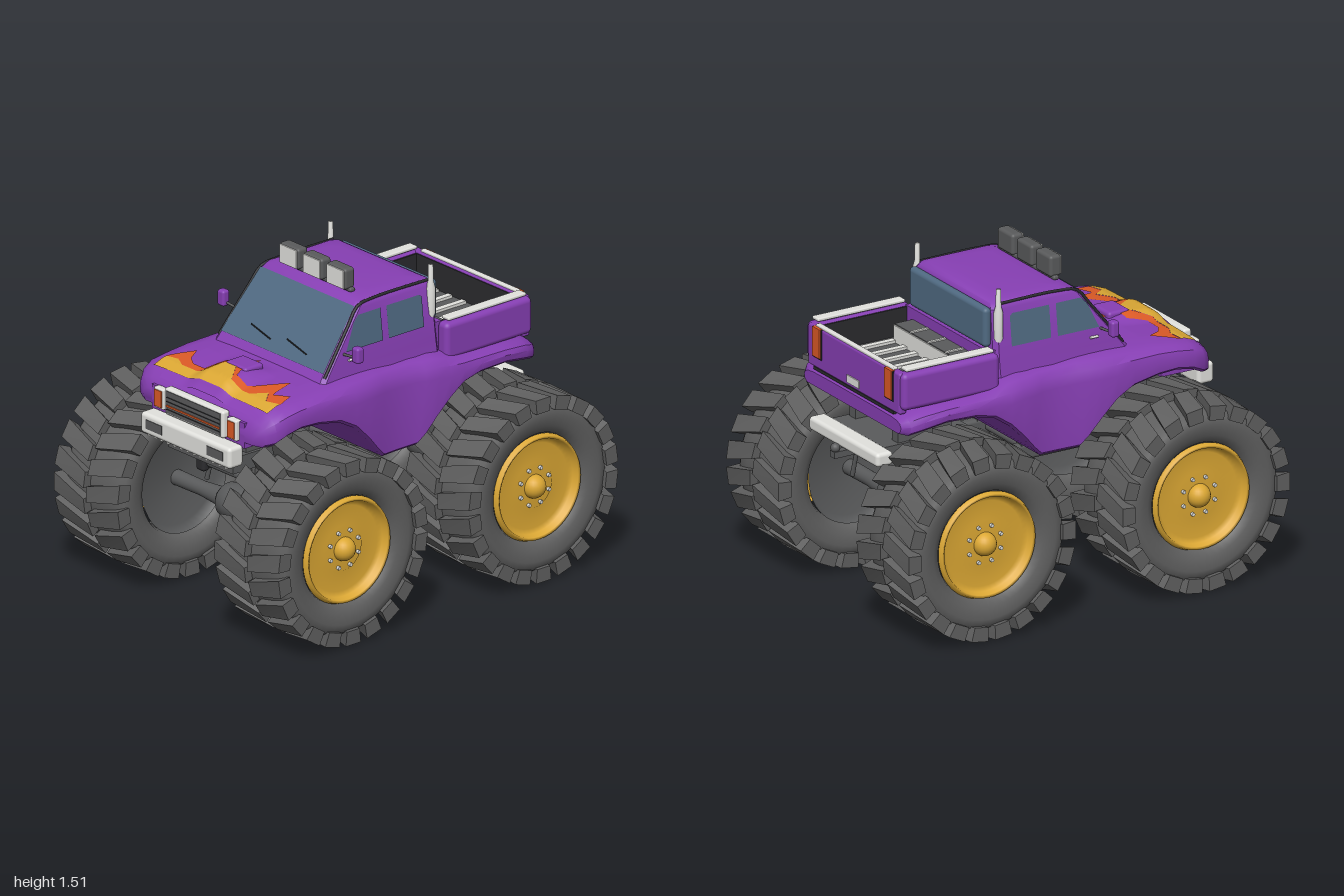
import * as THREE from 'three';
import { mergeGeometries, toCreasedNormals } from 'three/addons/utils/BufferGeometryUtils.js';
import { RoundedBoxGeometry } from 'three/addons/geometries/RoundedBoxGeometry.js';
import { ParametricGeometry } from 'three/addons/geometries/ParametricGeometry.js';

const mat = (name, color, side = THREE.FrontSide) => {
  const m = new THREE.MeshStandardMaterial({ color, side });
  m.name = name;
  return m;
};
const M = {
  purple: mat('purplePaint', 0x873fb4), yellow: mat('goldYellow', 0xdca834, THREE.DoubleSide),
  orange: mat('flameOrange', 0xdc5a26, THREE.DoubleSide), rubber: mat('tireRubber', 0x606060),
  dark: mat('darkMetal', 0x5a5b5c), chrome: mat('paleChrome', 0xe2e2de),
  glass: mat('blueGlass', 0x506a82, THREE.DoubleSide), black: mat('blackTrim', 0x2b2b2e, THREE.DoubleSide),
};
const V = (x, y, z) => new THREE.Vector3(x, y, z);

// piecewise linear lookup: rows sorted by column 0, returns column k
function lookup(rows, t, k = 1) {
  for (let i = 0; i < rows.length - 1; i++) {
    const [a, b] = [rows[i], rows[i + 1]];
    if (t <= b[0]) return THREE.MathUtils.lerp(a[k], b[k], THREE.MathUtils.clamp((t - a[0]) / (b[0] - a[0]), 0, 1));
  }
  return rows[rows.length - 1][k];
}

// skin over closed rings, with both ends capped
function loft(rings, crease = 0.6) {
  const n = rings[0].length, pos = [], idx = [];
  rings.forEach(r => r.forEach(p => pos.push(p.x, p.y, p.z)));
  for (let i = 0; i < rings.length - 1; i++) for (let j = 0; j < n; j++) {
    const a = i * n + j, b = i * n + (j + 1) % n;
    idx.push(a, b, a + n, b, b + n, a + n);
  }
  [0, rings.length - 1].forEach((i, end) => {
    const c = rings[i].reduce((s, p) => s.add(p), V(0, 0, 0)).divideScalar(n), k = pos.length / 3;
    pos.push(c.x, c.y, c.z);
    for (let j = 0; j < n; j++) {
      const a = i * n + j, b = i * n + (j + 1) % n;
      idx.push(...(end ? [k, a, b] : [k, b, a]));
    }
  });
  const g = new THREE.BufferGeometry();
  g.setAttribute('position', new THREE.Float32BufferAttribute(pos, 3));
  g.setIndex(idx);
  return toCreasedNormals(g, crease);
}

// flat panel through corner points
function panel(pts) {
  const g = new THREE.BufferGeometry().setFromPoints(pts), idx = [];
  for (let i = 1; i < pts.length - 1; i++) idx.push(0, i, i + 1);
  g.setIndex(idx);
  g.computeVertexNormals();
  return g;
}
const tube = (pts, r, seg = 12) => new THREE.TubeGeometry(new THREE.CatmullRomCurve3(pts), seg, r, 8);
const rod = (a, b, r, r2 = r) => {
  const d = b.clone().sub(a), g = new THREE.CylinderGeometry(r2, r, d.length(), 16);
  g.applyQuaternion(new THREE.Quaternion().setFromUnitVectors(V(0, 1, 0), d.normalize()));
  return g.translate((a.x + b.x) / 2, (a.y + b.y) / 2, (a.z + b.z) / 2);
};

// body stations: z, half width, bottom, top
const STATIONS = [
  [-0.81, 0.40, 0.915, 0.98], [-0.78, 0.435, 0.91, 1.0], [-0.72, 0.455, 0.925, 1.02], [-0.6, 0.465, 0.945, 1.03],
  [-0.45, 0.465, 0.94, 1.035], [-0.35, 0.465, 0.915, 1.045], [-0.27, 0.465, 0.86, 1.07], [-0.2, 0.458, 0.79, 1.08], [-0.14, 0.45, 0.72, 1.08],
  [-0.1, 0.44, 0.682, 1.085], [0, 0.432, 0.678, 1.085], [0.1, 0.445, 0.682, 1.09], [0.14, 0.452, 0.72, 1.09], [0.2, 0.46, 0.79, 1.09],
  [0.28, 0.465, 0.87, 1.09], [0.37, 0.465, 0.92, 1.085], [0.5, 0.465, 0.945, 1.08], [0.6, 0.465, 0.95, 1.07],
  [0.68, 0.465, 0.935, 1.06], [0.74, 0.45, 0.905, 1.04], [0.78, 0.42, 0.895, 1.01], [0.805, 0.37, 0.90, 0.97]];
// crown: fraction of half width, fraction of shoulder drop
const CROWN = [[0, 0], [0.5, 0.01], [0.8, 0.06], [0.91, 0.2], [0.975, 0.5], [1, 1]];
const hoodY = (x, z) => {
  const [w, b, t] = [1, 2, 3].map(k => lookup(STATIONS, z, k)), s = THREE.MathUtils.smoothstep;
  const bulge = 0.035 * (1 - s(Math.abs(x), 0.06, 0.16)) * s(z, 0.42, 0.6) * (1 - 0.6 * s(z, 0.7, 0.76));
  return t - Math.min(0.1, (t - b) / 2) * lookup(CROWN, Math.abs(x) / w) + bulge;
};
const bodyRing = ([z, w, b, t]) => {
  const drop = Math.min(0.1, (t - b) / 2);
  const half = CROWN.map(([f, d]) => [f * w, t - d * drop]);
  half.push([w * 0.99, b + 0.015], [w * 0.95, b], [w * 0.5, b], [0, b]);
  const back = half.slice(1, -1).reverse().map(([x, y]) => [-x, y]);
  return half.concat(back).map(([x, y]) => V(x, y, z));
};
const hoodPatch = (zFront, zBack, x0, lift, nx, nz) => new ParametricGeometry((u, v, p) => {
  const x = (u * 2 - 1) * x0, z = THREE.MathUtils.lerp(zFront(x), zBack(x), v);
  p.set(x, hoodY(x, z) + lift, z);
}, nx, nz);

// tread lugs bent around the tyre in a two-row chevron
function lugs(n = 22) {
  const list = [], step = Math.PI * 2 / n;
  for (let i = 0; i < n; i++) for (const s of [-1, 1]) {
    const g = new THREE.BoxGeometry(0.206, 1, 1), p = g.attributes.position;
    for (let k = 0; k < p.count; k++) {
      const X = s * 0.112 + p.getX(k), out = Math.abs(X) > 0.1;
      const a = (i + (s > 0 ? 0.5 : 0)) * step - Math.abs(X) * 0.65 - p.getY(k) * (out ? 0.2 : 0.17);
      const r = p.getZ(k) > 0 ? (out ? 0.437 : 0.443) : (out ? 0.37 : 0.39);
      p.setXYZ(k, X, r * Math.cos(a), r * Math.sin(a));
    }
    g.computeVertexNormals();
    list.push(g);
  }
  return mergeGeometries(list);
}

export function createModel() {
  const model = new THREE.Group();
  model.name = 'monsterTruck';
  const add = (name, geo, m, parent = model, x = 0, y = 0, z = 0) => {
    const mesh = new THREE.Mesh(geo, m);
    mesh.name = name;
    mesh.position.set(x, y, z);
    parent.add(mesh);
  };
  // box given by its extents
  const box = (name, m, x0, x1, y0, y1, z0, z1, r = 0) => {
    const s = [x1 - x0, y1 - y0, z1 - z0];
    const g = r ? new RoundedBoxGeometry(...s, 3, r) : new THREE.BoxGeometry(...s);
    add(name, g, m, model, (x0 + x1) / 2, (y0 + y1) / 2, (z0 + z1) / 2);
  };
  const boxPair = (name, m, x0, x1, ...rest) => {
    box(name + 'Left', m, x0, x1, ...rest);
    box(name + 'Right', m, -x1, -x0, ...rest);
  };

  // wheels
  const lathe = pts => new THREE.LatheGeometry(pts.map(p => new THREE.Vector2(...p)), 48).rotateZ(-Math.PI / 2);
  const side = [[0.395, 0.165], [0.38, 0.19], [0.34, 0.2], [0.29, 0.19], [0.255, 0.17], [0.242, 0.14]];
  const tire = lathe([...side.map(([r, y]) => [r, -y]).reverse(), [0.403, -0.1], [0.403, 0.1], ...side]);
  const rim = lathe([[0.25, 0.165], [0.242, 0.187], [0.23, 0.184], [0.222, 0.155], [0.2, 0.145], [0.11, 0.145], [0.105, 0.15], [0.001, 0.15]]);
  const inner = lathe([[0.001, -0.11], [0.22, -0.12], [0.245, -0.165]]);
  const hub = new THREE.SphereGeometry(0.055, 24, 14), tread = lugs();
  const bolt = new THREE.CylinderGeometry(0.009, 0.009, 0.024, 6).rotateZ(Math.PI / 2);
  for (const z of [0.557, -0.557]) for (const s of [1, -1]) {
    const wheel = new THREE.Group();
    wheel.name = (z > 0 ? 'front' : 'rear') + (s > 0 ? 'Left' : 'Right') + 'Wheel';
    wheel.position.set(s * 0.538, 0.445, z);
    model.add(wheel);
    add('tread', tread, M.rubber, wheel);
    const core = new THREE.Group();
    core.name = 'wheelCore';
    core.rotation.y = s > 0 ? 0 : Math.PI;
    wheel.add(core);
    add('tire', tire, M.rubber, core);
    add('rim', rim, M.yellow, core);
    add('innerDisc', inner, M.dark, core);
    add('hubCap', hub, M.yellow, core, 0.15);
    for (let i = 0; i < 8; i++) {
      const a = (i + 0.5) * Math.PI / 4;
      add('bolt', bolt, M.chrome, core, 0.152, 0.088 * Math.cos(a), 0.088 * Math.sin(a));
    }
  }

  // axles, springs and shocks
  for (const z of [0.557, -0.557]) {
    add('axle', lathe([[0.036, -0.43], [0.034, -0.25], [0.045, -0.12], [0.05, 0], [0.045, 0.12], [0.034, 0.25], [0.036, 0.43]]), M.dark, model, 0, 0.445, z);
    add('differential', lathe([[0.001, -0.105], [0.06, -0.103], [0.08, -0.08], [0.086, -0.03], [0.086, 0.03], [0.08, 0.08], [0.06, 0.103], [0.001, 0.105]]), M.dark, model, 0, 0.447, z);
    const zs = z - 0.065;
    for (const s of [1, -1]) {
      const coil = [];
      for (let i = 0; i <= 60; i++) {
        const a = i / 60 * Math.PI * 10, t = i / 60;
        coil.push(V(s * (0.26 - 0.035 * t) + 0.034 * Math.cos(a), 0.575 + 0.13 * t, zs + 0.034 * Math.sin(a)));
      }
      add('spring', tube(coil, 0.007, 150), M.orange);
      add('shock', rod(V(s * 0.3, 0.46, zs), V(s * 0.222, 0.73, zs), 0.011, 0.008), M.dark);
    }
  }

  // chassis
  boxPair('frameRail', M.dark, 0.157, 0.207, 0.575, 0.65, -0.62, 0.62, 0.015);
  boxPair('frameRailEnd', M.black, 0.154, 0.21, 0.57, 0.654, 0.6, 0.64, 0.015);
  boxPair('rearFrameRailEnd', M.black, 0.154, 0.21, 0.57, 0.654, -0.64, -0.6, 0.015);
  boxPair('frameMount', M.dark, 0.16, 0.204, 0.63, 0.7, -0.06, 0.06);
  for (const z of [-0.6, 0, 0.6]) add('crossTube', rod(V(-0.18, 0.61, z), V(0.18, 0.61, z), 0.02), M.dark);
  add('driveShaft', rod(V(0, 0.51, -0.55), V(0, 0.51, 0.55), 0.02), M.dark);
  box('frontDeck', M.dark, -0.215, 0.215, 0.715, 0.79, 0.32, 0.79);
  box('rearDeck', M.dark, -0.215, 0.215, 0.715, 0.79, -0.78, -0.32);
  boxPair('deckMount', M.dark, 0.15, 0.2, 0.78, 0.95, 0.42, 0.7);
  boxPair('rearDeckMount', M.dark, 0.15, 0.2, 0.78, 0.95, -0.7, -0.42);
  box('noseBlock', M.purple, -0.31, 0.31, 0.87, 0.99, 0.6, 0.805);

  // lower body and hood
  add('body', loft(STATIONS.slice().reverse().map(bodyRing)), M.purple);
  add('hood', hoodPatch(() => 0.77, () => 0.41, 0.3, 0.001, 40, 24), M.purple);
  box('hoodScoop', M.purple, -0.07, 0.07, 1.07, 1.118, 0.48, 0.59, 0.015);
  const tips = [[-0.38, 0.65], [-0.31, 0.54], [-0.27, 0.61], [-0.22, 0.64], [-0.14, 0.64], [-0.11, 0.55], [-0.07, 0.54], [-0.02, 0.42], [0.03, 0.55], [0.07, 0.64], [0.14, 0.64], [0.26, 0.49], [0.285, 0.62], [0.36, 0.58], [0.38, 0.65]];
  const cores = [[-0.38, 0.66], [-0.31, 0.65], [-0.25, 0.68], [-0.12, 0.68], [-0.06, 0.58], [0, 0.58], [0.08, 0.68], [0.2, 0.68], [0.26, 0.62], [0.31, 0.68], [0.38, 0.66]];
  add('flameOuter', hoodPatch(x => lookup(cores, x), x => lookup(tips, x), 0.38, 0.005, 76, 14), M.orange);
  add('flameInner', hoodPatch(() => 0.735, x => lookup(cores, x), 0.38, 0.006, 76, 8), M.yellow);

  // cab: height, half width, front z, back z, corner cut
  const CAB = [[1.05, 0.372, 0.42, -0.29, 0.02], [1.12, 0.36, 0.368, -0.29, 0.02], [1.37, 0.33, 0.17, -0.287, 0.02], [1.392, 0.317, 0.142, -0.275, 0.025], [1.405, 0.29, 0.1, -0.25, 0.03], [1.41, 0.23, 0.04, -0.2, 0.03]];
  add('cab', loft(CAB.map(([y, w, f, b, c]) => [[c - w, f], [w - c, f], [w, f - c], [w, b + c], [w - c, b], [c - w, b], [-w, b + c], [-w, f - c]].map(([x, z]) => V(x, y, z)))), M.purple);
  const frontZ = y => lookup(CAB, y, 2), sideX = y => lookup(CAB, y, 1);
  const shield = (w0, w1, y0, y1, o) => panel([V(-w0, y0, frontZ(y0) + o), V(w0, y0, frontZ(y0) + o), V(w1, y1, frontZ(y1) + o), V(-w1, y1, frontZ(y1) + o)]);
  add('windshield', shield(0.342, 0.313, 1.12, 1.378, 0.006), M.glass);
  for (const s of [1, -1]) {
    const flat = (pts, o) => panel(pts.map(([z, y]) => V(s * (sideX(y) + o), y, z)));
    add('frontSideWindow', flat([[0.25, 1.195], [0.035, 1.195], [0.035, 1.345], [0.165, 1.345], [0.195, 1.315]], 0.005), M.glass);
    add('rearSideWindow', flat([[0, 1.195], [-0.205, 1.195], [-0.205, 1.335], [-0.19, 1.345], [0, 1.345]], 0.005), M.glass);
    add('doorHandle', rod(V(s * 0.362, 1.155, 0.24), V(s * 0.362, 1.155, 0.2), 0.006), M.chrome);
    add('pillarTrim', tube([V(s * 0.352, 1.1, 0.375), V(s * 0.33, 1.3, 0.22), V(s * 0.32, 1.378, 0.155), V(s * 0.315, 1.392, 0.05), V(s * 0.315, 1.392, -0.26)], 0.007, 24), M.black);
    const wx = s > 0 ? 0.05 : -0.19;
    add('wiper', tube([V(wx, 1.185, frontZ(1.185) + 0.012), V(wx + 0.15, 1.162, frontZ(1.162) + 0.012)], 0.003, 4), M.black);
    // mirrors and exhaust stacks
    add('mirrorArm', rod(V(s * 0.34, 1.185, 0.26), V(s * 0.44, 1.195, 0.26), 0.006), M.dark);
    add('mirror', new RoundedBoxGeometry(0.045, 0.075, 0.04, 3, 0.012), M.purple, model, s * 0.45, 1.215, 0.265);
    add('exhaustStack', new THREE.LatheGeometry([[0.012, 1.15], [0.012, 1.22], [0.021, 1.24], [0.021, 1.36], [0.013, 1.39], [0.011, 1.47], [0.001, 1.47]].map(p => new THREE.Vector2(...p)), 20), M.chrome, model, s * 0.335, 0, -0.262);
  }
  box('rearWindow', M.glass, -0.315, 0.315, 1.195, 1.38, -0.322, -0.28, 0.02);

  // roof lights
  box('lightBar', M.dark, -0.235, 0.235, 1.405, 1.425, 0.09, 0.12, 0.008);
  for (const x of [-0.157, 0, 0.157]) {
    box('lightHousing', M.dark, x - 0.064, x + 0.064, 1.415, 1.515, 0.08, 0.14, 0.015);
    box('lightLens', M.chrome, x - 0.057, x + 0.057, 1.421, 1.509, 0.137, 0.144, 0.003);
  }

  // front end
  box('frontBumper', M.chrome, -0.3, 0.3, 0.785, 0.885, 0.8, 0.885, 0.018);
  boxPair('bumperSlot', M.dark, 0.15, 0.258, 0.815, 0.858, 0.88, 0.888);
  for (let i = -6; i <= 6; i++) box('bumperTooth', M.chrome, i * 0.043 - 0.008, i * 0.043 + 0.008, 0.776, 0.79, 0.82, 0.87);
  box('grilleSurround', M.chrome, -0.197, 0.197, 0.888, 1.016, 0.79, 0.832, 0.012);
  box('grille', M.dark, -0.18, 0.18, 0.9, 1.004, 0.825, 0.835);
  for (const y of [0.918, 0.955, 0.975]) box('grilleBar', M.black, -0.178, 0.178, y - 0.002, y + 0.002, 0.83, 0.838);
  box('grilleStripe', M.orange, -0.178, 0.178, 0.931, 0.939, 0.83, 0.84);
  boxPair('headlightFrame', M.chrome, 0.212, 0.276, 0.897, 0.995, 0.79, 0.825, 0.008);
  boxPair('headlight', M.orange, 0.221, 0.267, 0.907, 0.985, 0.82, 0.829);

  // cargo bed
  boxPair('bedSide', M.purple, 0.335, 0.405, 1.02, 1.195, -0.8, -0.295, 0.025);
  box('tailgate', M.purple, -0.38, 0.38, 1.0, 1.195, -0.805, -0.765, 0.012);
  box('bedFrontWall', M.purple, -0.34, 0.34, 1.03, 1.19, -0.32, -0.28);
  box('bedFloor', M.dark, -0.34, 0.34, 1.03, 1.055, -0.77, -0.31);
  boxPair('bedLiner', M.black, 0.328, 0.336, 1.05, 1.185, -0.768, -0.318);
  box('tailgateLiner', M.black, -0.332, 0.332, 1.05, 1.185, -0.768, -0.76);
  for (let i = -3; i <= 3; i++) box('bedRib', M.chrome, i * 0.092 - 0.015, i * 0.092 + 0.015, 1.05, 1.068, -0.75, -0.42);
  box('toolBox', M.dark, -0.28, 0.28, 1.05, 1.14, -0.415, -0.32);
  box('toolBoxFace', M.chrome, -0.28, 0.28, 1.055, 1.135, -0.421, -0.414);
  for (const x of [-0.145, 0, 0.145]) box('toolBoxStrap', M.chrome, x - 0.007, x + 0.007, 1.13, 1.146, -0.415, -0.325);
  boxPair('bedRail', M.chrome, 0.34, 0.39, 1.2, 1.216, -0.775, -0.32, 0.006);
  boxPair('railFoot', M.dark, 0.355, 0.375, 1.19, 1.203, -0.74, -0.35);
  box('tailgateRail', M.chrome, -0.32, 0.32, 1.19, 1.205, -0.8, -0.775, 0.005);

  // rear end
  boxPair('tailLightFrame', M.black, 0.262, 0.332, 1.05, 1.192, -0.809, -0.79);
  boxPair('tailLight', M.orange, 0.268, 0.326, 1.057, 1.195, -0.815, -0.79);
  box('tailgateSeam', M.black, -0.33, 0.33, 0.99, 1.004, -0.806, -0.78);
  box('numberPlate', M.chrome, -0.05, 0.05, 1.02, 1.055, -0.811, -0.8);
  box('rearBumper', M.chrome, -0.285, 0.285, 0.73, 0.795, -0.862, -0.775, 0.018);
  box('hitchBar', M.dark, -0.018, 0.018, 0.7, 0.73, -0.915, -0.75);
  add('hitchBall', new THREE.SphereGeometry(0.022, 16, 12), M.dark, model, 0, 0.745, -0.9);
  return model;
}
